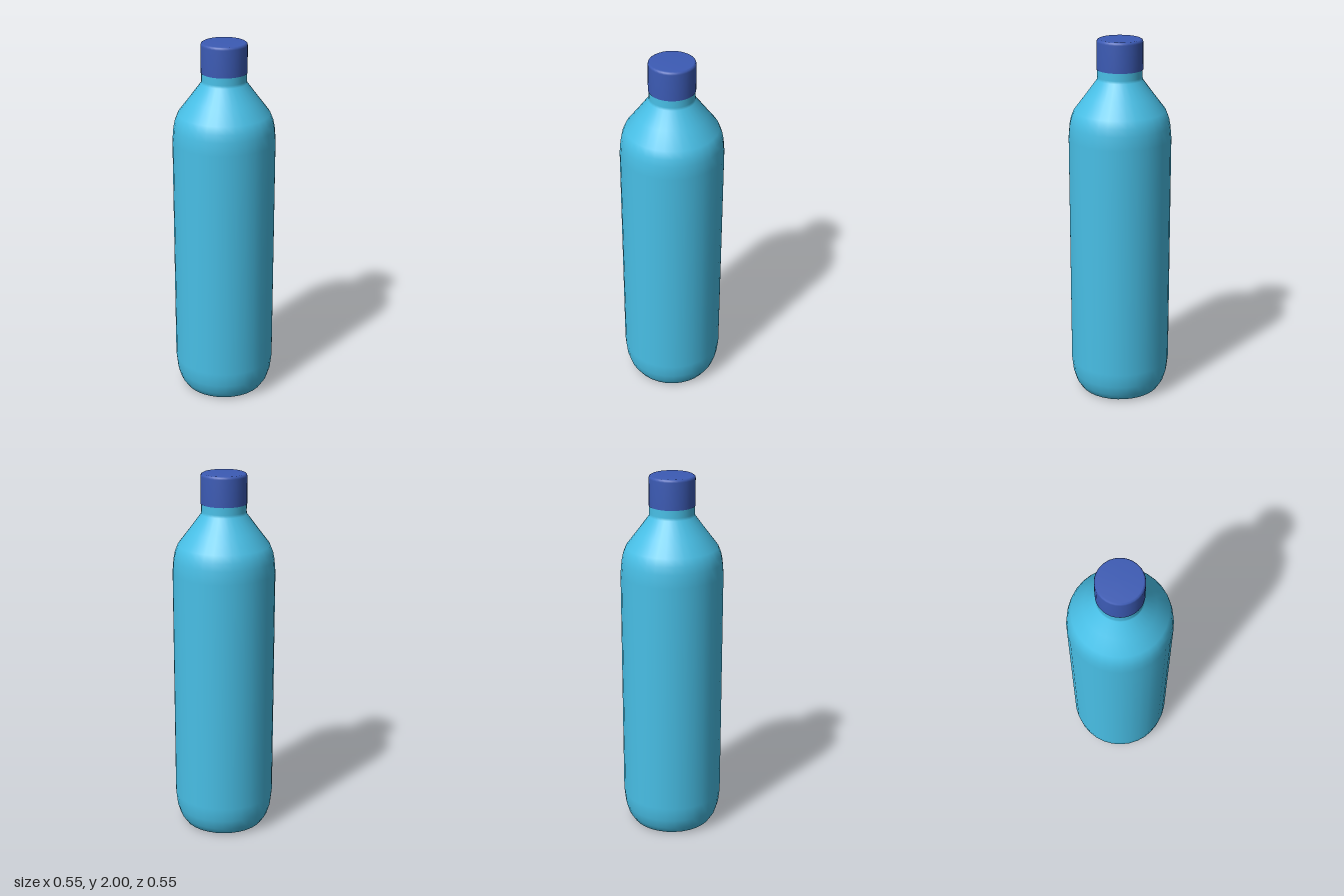
import * as THREE from 'three';

const SEGMENTS = 32;

// Turn a [radius, height] profile, listed from bottom to top, into a named mesh
function turned(name, color, profile) {
  const points = profile.map(([r, y]) => new THREE.Vector2(r, y));
  const material = new THREE.MeshStandardMaterial({ color, side: THREE.DoubleSide });
  const mesh = new THREE.Mesh(new THREE.LatheGeometry(points, SEGMENTS), material);
  mesh.name = name;
  return mesh;
}

export function createModel() {
  const group = new THREE.Group();
  group.name = 'bottle';

  // Body: hollowed base, rounded foot, straight wall, sloping shoulder and neck
  group.add(turned('body', 0x48bfe6, [
    [0, 0.06], [0.1, 0.05], [0.17, 0.025], [0.2, 0.005],
    [0.212, 0], [0.225, 0.006], [0.25, 0.045], [0.267, 0.1], [0.276, 0.18],
    [0.276, 1.47], [0.27, 1.54], [0.262, 1.58], [0.246, 1.62],
    [0.185, 1.7], [0.122, 1.785], [0.12, 1.8], [0.12, 1.87],
  ]));

  // Cap: short cylinder with a softened top edge
  group.add(turned('cap', 0x3c5bb5, [
    [0.12, 1.84], [0.123, 1.84], [0.123, 1.985], [0.12, 1.995], [0.112, 2], [0, 2],
  ]));

  return group;
}
